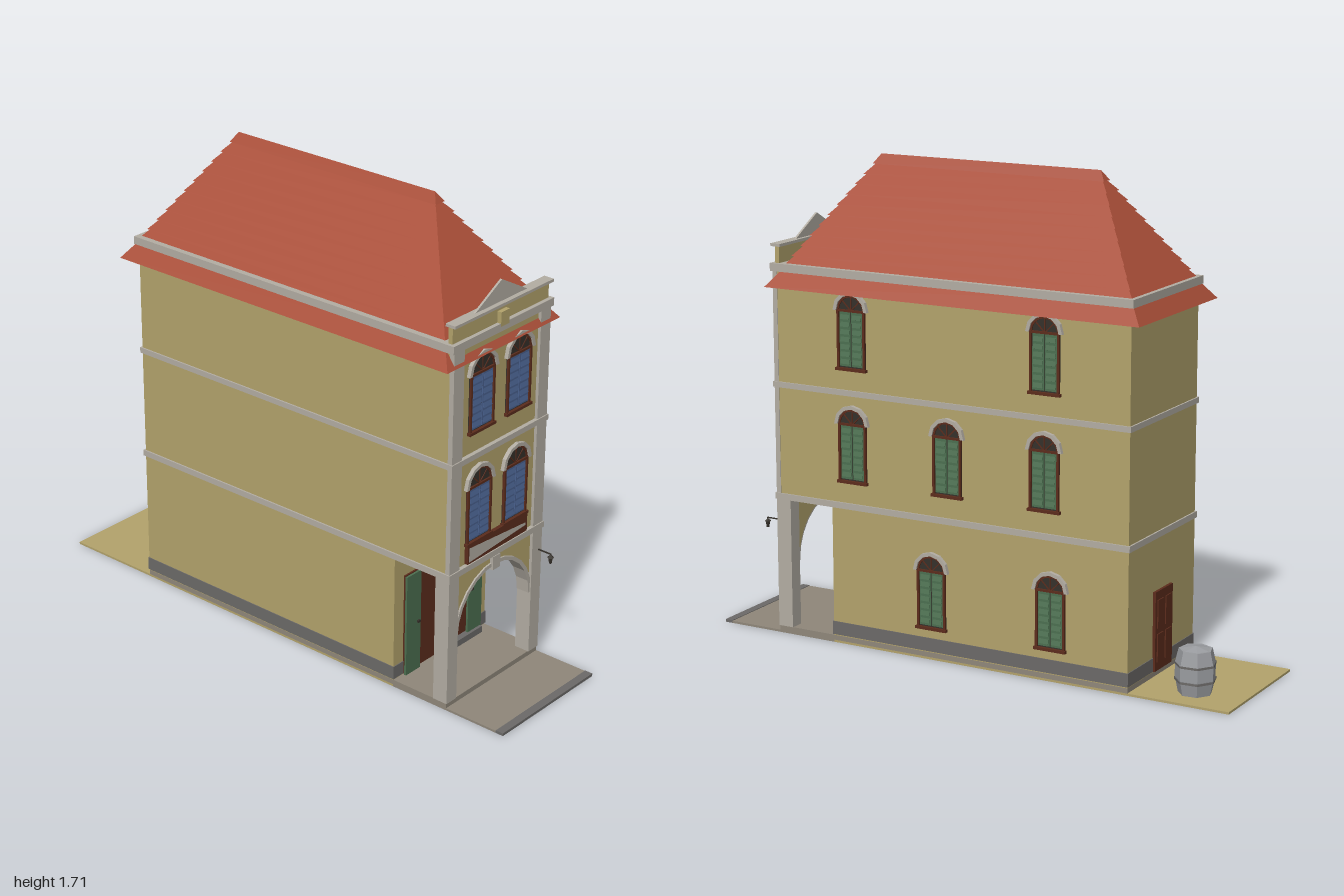
import * as THREE from 'three';

const C = {
  wall: 0xb3a36c, trim: 0xb3ada3, roof: 0xa94e38, brown: 0x5c2c1c, blue: 0x4a6290,
  green: 0x4c6f50, dark: 0x35302a, plinth: 0x6c6a68, paving: 0x8f877a, metal: 0x9a9ca0,
};
const mats = {};
const mat = (c) => (mats[c] ??= new THREE.MeshStandardMaterial({
  color: C[c], flatShading: true, side: THREE.DoubleSide }));

function add(parent, name, geo, color) {
  const m = new THREE.Mesh(geo, mat(color));
  m.name = name;
  parent.add(m);
  return m;
}
// box given by its limits
function box(parent, name, color, x0, x1, y0, y1, z0, z1) {
  const m = add(parent, name, new THREE.BoxGeometry(x1 - x0, y1 - y0, z1 - z0), color);
  m.position.set((x0 + x1) / 2, (y0 + y1) / 2, (z0 + z1) / 2);
  return m;
}
// half ring (or half disc when inner is 0) standing on a horizontal diameter
function arch(outer, inner, depth, segs, from = 0, to = Math.PI) {
  const pts = [];
  for (let i = 0; i <= segs; i++) {
    const a = from + ((to - from) * i) / segs;
    pts.push(new THREE.Vector2(Math.cos(a) * outer, Math.sin(a) * outer));
  }
  for (let i = segs; i >= 0 && inner > 0; i--) {
    const a = from + ((to - from) * i) / segs;
    pts.push(new THREE.Vector2(Math.cos(a) * inner, Math.sin(a) * inner));
  }
  return new THREE.ExtrudeGeometry(new THREE.Shape(pts), { depth, bevelEnabled: false });
}

// arched window facing +z, origin at the middle of its sill
function makeWindow(color, w) {
  const g = new THREE.Group();
  const r = w / 2, h = 0.2, f = 0.008;
  g.name = 'archedWindow';
  box(g, 'glassBacking', 'dark', -r, r, 0, h, 0, 0.003);
  add(g, 'fanlight', arch(r, 0, 0.004, 8), 'dark').position.y = h;
  for (const s of [-1, 1]) {
    const x = s * (r - f / 2);
    box(g, 'frameSide', 'brown', x - f / 2, x + f / 2, 0, h, 0, 0.01);
    const c = (s * (r - f)) / 2, hw = (r - f) / 2 - 0.002;
    box(g, 'shutter', color, c - hw, c + hw, 0.005, h - 0.004, 0, 0.006);
    for (let i = 0; i < 7; i++) {
      const slat = box(g, 'slat', color, c - hw + 0.004, c + hw - 0.004, 0, 0.018, 0.005, 0.008);
      slat.position.y = 0.022 + i * 0.026;
      slat.rotation.x = -0.25;
    }
  }
  box(g, 'transom', 'brown', -r, r, h - 0.004, h + 0.004, 0, 0.01);
  box(g, 'sill', 'brown', -r - 0.005, r + 0.005, -0.01, 0, 0, 0.014);
  add(g, 'frameArch', arch(r, r - f, 0.008, 8), 'brown').position.y = h;
  for (const a of [0.25, 0.5, 0.75]) {
    const bar = add(g, 'fanlightBar', new THREE.BoxGeometry(r, 0.004, 0.004), 'brown');
    bar.position.set(Math.cos(a * Math.PI) * r / 2, h + Math.sin(a * Math.PI) * r / 2, 0.004);
    bar.rotation.z = a * Math.PI;
  }
  add(g, 'hood', arch(r + 0.013, r, 0.014, 6), 'trim').position.y = h;
  return g;
}

// hipped roof: rectangular courses, each overhanging the one below
function makeRoof() {
  const ring = (t, grow) => {
    const x = Math.max(0, 0.295 * (1 - t) + grow), y = 1.26 + 0.45 * t;
    const zf = 0.77 - 0.3 * t + grow, zb = -0.68 + 0.295 * t - grow;
    return [[-x, y, zf], [x, y, zf], [x, y, zb], [-x, y, zb]];
  };
  const levels = [0];
  for (let i = 0; i <= 11; i++) levels.push(0.155 + (0.845 * i) / 11);
  const rings = [ring(0, -0.045)];
  for (let i = 0; i < levels.length - 1; i++) {
    rings.push(ring(levels[i], 0));
    rings.push(ring(levels[i + 1], i === levels.length - 2 ? 0 : -0.008));
  }
  const pos = [];
  for (let k = 0; k < rings.length - 1; k++) {
    for (let i = 0; i < 4; i++) {
      const j = (i + 1) % 4, [a, b, c, d] = [rings[k][i], rings[k][j], rings[k + 1][j], rings[k + 1][i]];
      pos.push(...a, ...b, ...c, ...a, ...c, ...d);
    }
  }
  const geo = new THREE.BufferGeometry();
  geo.setAttribute('position', new THREE.Float32BufferAttribute(pos, 3));
  geo.computeVertexNormals();
  return geo;
}

export function createModel() {
  const house = new THREE.Group();
  house.name = 'townHouse';

  // ground
  box(house, 'yard', 'wall', -0.25, 0.25, 0, 0.008, -1, 0.53);
  box(house, 'pavement', 'paving', -0.25, 0.25, 0, 0.008, 0.53, 0.97);
  box(house, 'kerb', 'plinth', -0.25, 0.25, 0, 0.01, 0.97, 1);
  box(house, 'floorSlab', 'paving', -0.25, 0.25, 0.008, 0.026, -0.63, 0.76);

  // walls
  box(house, 'groundFloor', 'wall', -0.25, 0.25, 0.026, 0.5, -0.63, 0.53);
  box(house, 'upperFloors', 'wall', -0.25, 0.25, 0.495, 1.32, -0.63, 0.752);
  box(house, 'plinth', 'plinth', -0.253, 0.253, 0.03, 0.078, -0.633, 0.533);

  // string courses and cornice
  for (const [y0, y1, e] of [[0.495, 0.517, 0.006], [0.9, 0.92, 0.006], [1.312, 1.34, 0.012]])
    box(house, 'stringCourse', 'trim', -0.25 - e, 0.25 + e, y0, y1, -0.63 - e, 0.767);

  // corner pillars
  for (const s of [-1, 1]) {
    const [a, b] = s > 0 ? [0.2, 0.252] : [-0.252, -0.2];
    box(house, 'porchPillar', 'trim', a, b, 0.026, 0.5, 0.705, 0.763);
    box(house, 'cornerPilaster', 'trim', a, b, 0.5, 1.32, 0.745, 0.763);
  }

  // porch arch
  const s = new THREE.Shape();
  s.moveTo(-0.2, 0.26);
  s.absarc(0, 0.26, 0.2, Math.PI, 0, true);
  s.lineTo(0.2, 0.5);
  s.lineTo(-0.2, 0.5);
  const archWall = new THREE.ExtrudeGeometry(s, { depth: 0.045, bevelEnabled: false, curveSegments: 14 });
  add(house, 'porchArch', archWall, 'wall').position.z = 0.707;
  add(house, 'archTrim', arch(0.208, 0.194, 0.05, 12), 'trim').position.set(0, 0.26, 0.708);
  box(house, 'archKeystone', 'trim', -0.02, 0.02, 0.44, 0.49, 0.75, 0.764);

  // porch doors
  box(house, 'porchDoor', 'brown', -0.2, 0.2, 0.03, 0.41, 0.52, 0.536);
  for (const k of [-1, 1]) {
    const leaf = add(house, 'porchDoorLeaf', new THREE.BoxGeometry(0.075, 0.38, 0.008), 'green');
    leaf.position.set(k * 0.168, 0.22, 0.545);
    box(house, 'doorHandle', 'dark', k * 0.145 - 0.006, k * 0.145 + 0.006, 0.215, 0.223, 0.548, 0.556);
  }
  box(house, 'doorStep', 'plinth', 0.04, 0.2, 0.026, 0.05, 0.53, 0.56);

  // front windows
  for (const y of [0.595, 1.0]) for (const x of [-0.097, 0.097]) {
    const w = makeWindow('blue', 0.126);
    w.position.set(x, y, 0.752);
    house.add(w);
  }
  // balcony front with slanting panel
  box(house, 'balconyFront', 'brown', -0.16, 0.16, 0.52, 0.59, 0.752, 0.766);
  const p = new THREE.Shape([[-0.155, 0.58], [-0.155, 0.527], [0.15, 0.545], [0.15, 0.555]]
    .map(([x, y]) => new THREE.Vector2(x, y)));
  add(house, 'balconyPanel', new THREE.ShapeGeometry(p), 'trim').position.z = 0.7675;

  // side windows
  for (const [y, zs] of [[0.12, [0.125, -0.34]], [0.6, [0.44, 0.06, -0.315]], [1.0, [0.44, -0.315]]])
    for (const z of zs) {
      const w = makeWindow('green', 0.112);
      w.rotation.y = Math.PI / 2;
      w.position.set(0.25, y, z);
      house.add(w);
    }

  // back door
  box(house, 'backDoor', 'brown', -0.065, 0.065, 0.03, 0.31, -0.64, -0.62);
  for (const k of [-1, 1]) for (const y of [0.06, 0.18])
    box(house, 'backDoorPanel', 'brown', k * 0.03 - 0.022, k * 0.03 + 0.022, y, y + 0.1, -0.644, -0.638);

  // roof, parapet and pediment
  add(house, 'hippedRoof', makeRoof(), 'roof');
  box(house, 'parapet', 'wall', -0.25, 0.25, 1.335, 1.4, 0.735, 0.752);
  box(house, 'parapetCap', 'trim', -0.256, 0.256, 1.398, 1.408, 0.728, 0.767);
  const tri = new THREE.Shape([new THREE.Vector2(-0.14, 1.405), new THREE.Vector2(0.14, 1.405),
    new THREE.Vector2(0, 1.483)]);
  add(house, 'pediment', new THREE.ExtrudeGeometry(tri, { depth: 0.008, bevelEnabled: false }), 'trim')
    .position.z = 0.742;
  box(house, 'parapetKeystone', 'wall', -0.022, 0.022, 1.33, 1.38, 0.75, 0.768);

  // hanging lantern beside the porch
  const lantern = new THREE.Group();
  lantern.name = 'lantern';
  lantern.position.set(0.236, 0.39, 0.815);
  add(lantern, 'lanternBody', new THREE.CylinderGeometry(0.009, 0.005, 0.022, 6), 'dark');
  add(lantern, 'lanternCap', new THREE.ConeGeometry(0.012, 0.012, 6), 'dark').position.y = 0.017;
  box(lantern, 'lanternBracket', 'dark', -0.002, 0.002, 0.022, 0.026, -0.055, 0.002);
  house.add(lantern);

  // barrel in the yard
  const barrel = new THREE.Group();
  barrel.name = 'barrel';
  barrel.position.set(0.125, 0.005, -0.82);
  barrel.rotation.y = 0.3;
  const profile = [[0, 0], [0.058, 0], [0.07, 0.055], [0.07, 0.105], [0.058, 0.155], [0.05, 0.155], [0, 0.165]]
    .map(([x, y]) => new THREE.Vector2(x, y));
  add(barrel, 'barrelBody', new THREE.LatheGeometry(profile, 7), 'metal');
  for (const y of [0.05, 0.105])
    add(barrel, 'barrelHoop', new THREE.CylinderGeometry(0.0725, 0.0725, 0.008, 7, 1, true), 'plinth').position.y = y;
  house.add(barrel);

  return house;
}
